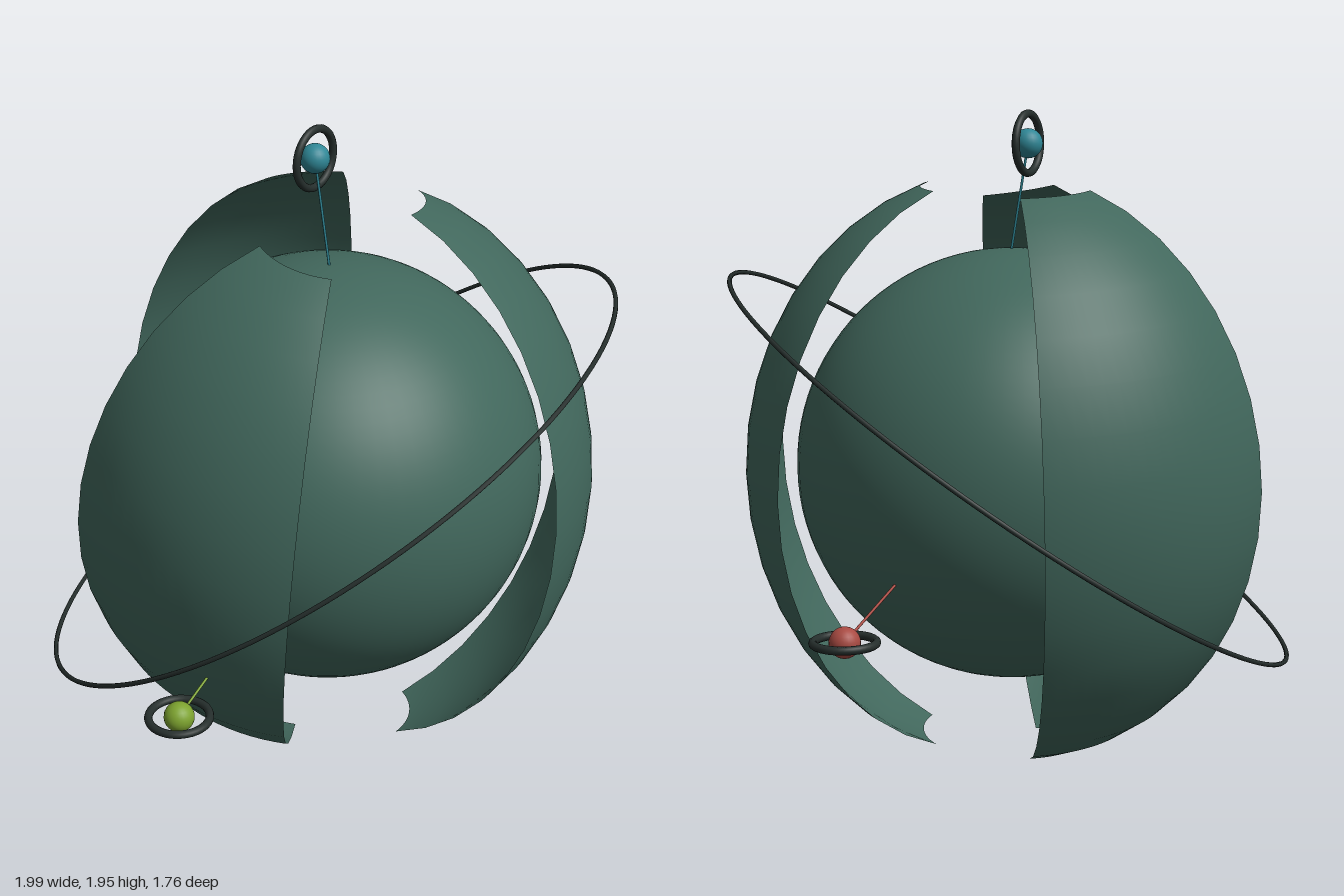
import * as THREE from 'three';

const CENTRE = new THREE.Vector3(0, 0.877, 0);
const UP = new THREE.Vector3(0, 1, 0);
const mat = (color, side = THREE.FrontSide) => new THREE.MeshStandardMaterial({ color, side });

const green = mat(0x41675c);
const shellGreen = mat(0x41675c, THREE.DoubleSide);
const dark = mat(0x252e2c);

function add(parent, name, geometry, material, position) {
  const mesh = new THREE.Mesh(geometry, material);
  mesh.name = name;
  if (position) mesh.position.copy(position);
  parent.add(mesh);
  return mesh;
}

// Curved panel: a slice of a tall ellipsoid facing a compass angle, with its own axis lean
function shellPanel(parent, name, facing, axis) {
  const width = THREE.MathUtils.degToRad(59.5);
  const angle = THREE.MathUtils.degToRad(facing);
  const cut = 0.326;
  const geometry = new THREE.SphereGeometry(
    0.78, 16, 16, angle + Math.PI / 2 - width / 2, width, cut, Math.PI - 2 * cut);
  geometry.scale(1, 1.152, 1);
  const outward = new THREE.Vector3(Math.sin(angle), 0, Math.cos(angle));
  const panel = add(parent, name, geometry, shellGreen,
    CENTRE.clone().addScaledVector(outward, 0.025).setY(0.868));
  panel.quaternion.setFromUnitVectors(UP, new THREE.Vector3(...axis).normalize());
}

// Small ball on a thin stem, circled by a dark ring
function satellite(parent, name, color, root, centre, flatRing) {
  const group = new THREE.Group();
  group.name = name;
  const material = mat(color);
  const a = new THREE.Vector3(...root), b = new THREE.Vector3(...centre);
  add(group, 'ball', new THREE.SphereGeometry(0.044, 24, 16), material, b);
  const stem = add(group, 'stem', new THREE.CylinderGeometry(0.004, 0.004, a.distanceTo(b), 8),
    material, a.clone().lerp(b, 0.5));
  stem.quaternion.setFromUnitVectors(UP, b.clone().sub(a).normalize());
  const ring = add(group, 'ballRing', new THREE.TorusGeometry(0.087, 0.012, 10, 40), dark, b);
  if (flatRing) ring.rotation.x = Math.PI / 2;
  parent.add(group);
}

export function createModel() {
  const model = new THREE.Group();
  model.name = 'shelledSphere';

  add(model, 'core', new THREE.SphereGeometry(0.652, 64, 48), green, CENTRE);

  // Three shell panels around the core
  shellPanel(model, 'frontShellPanel', 30, [0.068, 1, -0.035]);
  shellPanel(model, 'backShellPanel', 150, [0.095, 1, -0.025]);
  shellPanel(model, 'rightShellPanel', 270, [-0.095, 1, 0.155]);

  // Tilted orbit ring
  const orbit = add(model, 'orbitRing', new THREE.TorusGeometry(1.015, 0.007, 8, 128), dark, CENTRE);
  orbit.quaternion.setFromUnitVectors(new THREE.Vector3(0, 0, 1),
    new THREE.Vector3(-0.236, 0.826, -0.512).normalize());

  // Satellites
  satellite(model, 'topSatellite', 0x2f8796, [0.017, 1.52, -0.005], [0.028, 1.84, -0.065], false);
  satellite(model, 'leftSatellite', 0xa84a42, [0.57, 0.612, 0.095], [0.875, 0.51, 0.095], true);
  satellite(model, 'rightSatellite', 0x7da32f, [-0.57, 0.592, 0.1], [-0.865, 0.48, 0.12], true);

  return model;
}
